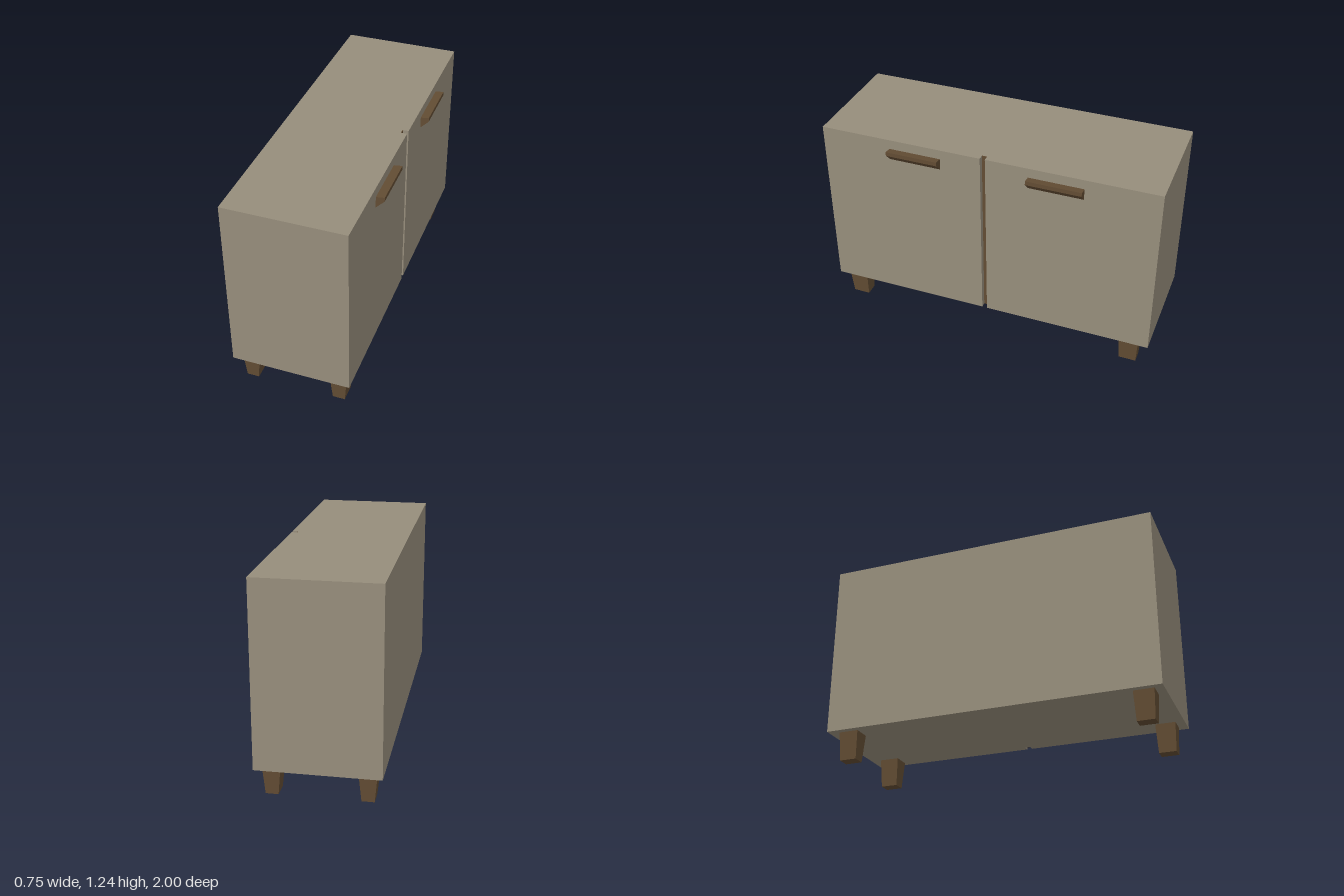
import * as THREE from 'three';

export function createModel() {
  const group = new THREE.Group();
  const paint = new THREE.MeshStandardMaterial({ color: 0x968d7b });
  paint.name = 'taupe paint';
  const wood = new THREE.MeshStandardMaterial({ color: 0x624c33 });
  wood.name = 'dark wood';

  const add = (name, geometry, material, x = 0, y = 0, z = 0) => {
    const mesh = new THREE.Mesh(geometry, material);
    mesh.name = name;
    mesh.position.set(x, y, z);
    group.add(mesh);
  };
  const polygon = (points) => new THREE.Shape(points.map(([x, y]) => new THREE.Vector2(x, y)));

  // Cabinet: floor plan with the gap between the doors, extruded upwards
  const bottom = 0.17, height = 1.065, front = 0.323, gapFloor = 0.287;
  const plan = polygon([
    [-0.375, -1], [front, -1], [front, -0.03], [gapFloor, -0.03],
    [gapFloor, 0], [front, 0], [front, 1], [-0.375, 1],
  ]);
  const body = new THREE.ExtrudeGeometry(plan, { depth: height, bevelEnabled: false });
  body.rotateX(-Math.PI / 2);
  add('cabinet', body, paint, 0, bottom, 0);

  // Wooden strip at the back of the door gap
  add('doorGapStrip', new THREE.BoxGeometry(0.004, height, 0.03), wood,
    gapFloor + 0.002, bottom + height / 2, 0.015);

  // Wedge handles: side profile extruded along z
  const profile = polygon([[front, 1.11], [0.372, 1.16], [0.372, 1.184], [front, 1.178]]);
  for (const [name, z0, z1] of [['leftDoorHandle', 0.27, 0.58], ['rightDoorHandle', -0.57, -0.25]]) {
    add(name, new THREE.ExtrudeGeometry(profile, { depth: z1 - z0, bevelEnabled: false }), wood, 0, 0, z0);
  }

  // Tapered legs: boxes narrowed at the foot
  const leg = new THREE.BoxGeometry(0.104, bottom, 0.118);
  const pos = leg.attributes.position;
  for (let i = 0; i < pos.count; i++) {
    if (pos.getY(i) < 0) {
      pos.setX(i, pos.getX(i) * 0.69);
      pos.setZ(i, pos.getZ(i) * 0.86);
    }
  }
  leg.computeVertexNormals();
  for (const x of [-0.288, 0.239]) {
    for (const z of [-0.877, 0.89]) add('leg', leg, wood, x, bottom / 2, z);
  }

  return group;
}
